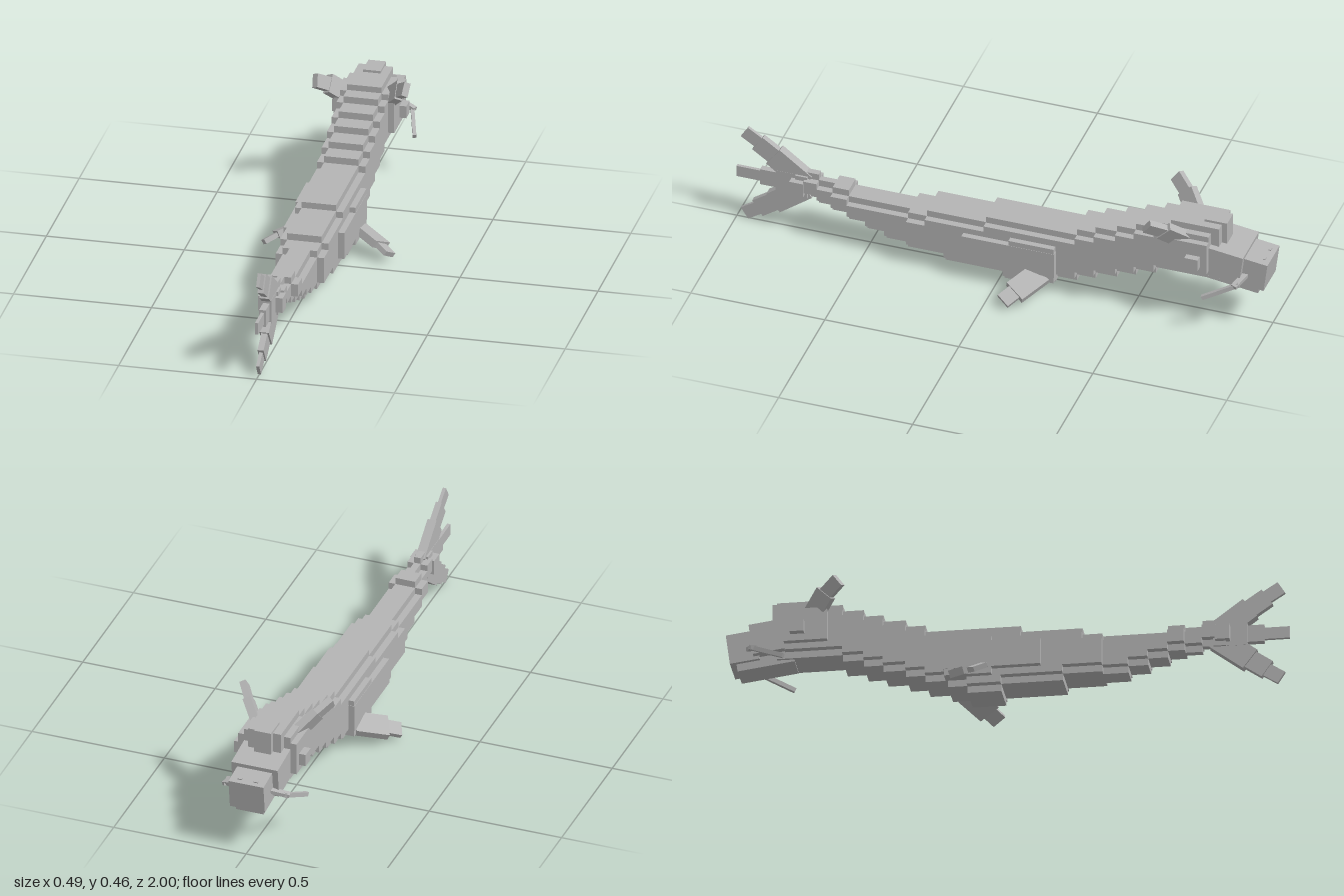
import * as THREE from 'three';

export function createModel() {
  const model = new THREE.Group();
  const grey = new THREE.MeshStandardMaterial({ color: 0xb4b4b4 });
  grey.name = 'grey';

  // box from its limits
  function block(name, x0, x1, y0, y1, z0, z1, parent = model) {
    const m = new THREE.Mesh(new THREE.BoxGeometry(x1 - x0, y1 - y0, z1 - z0), grey);
    m.position.set((x0 + x1) / 2, (y0 + y1) / 2, (z0 + z1) / 2);
    m.name = name;
    parent.add(m);
    return m;
  }
  const centred = (name, hw, y0, y1, z0, z1, parent) => block(name, -hw, hw, y0, y1, z0, z1, parent);

  // slab running from a to b, its width turned towards the hint direction
  function slab(name, a, b, hint, width, thick) {
    const A = new THREE.Vector3(...a), B = new THREE.Vector3(...b);
    const d = B.clone().sub(A), len = d.length();
    d.normalize();
    const n = new THREE.Vector3().crossVectors(d, new THREE.Vector3(...hint)).normalize();
    const w = new THREE.Vector3().crossVectors(n, d);
    const m = new THREE.Mesh(new THREE.BoxGeometry(len, width, thick), grey);
    m.quaternion.setFromRotationMatrix(new THREE.Matrix4().makeBasis(d, w, n));
    m.position.copy(A.add(B).multiplyScalar(0.5));
    m.name = name;
    model.add(m);
  }

  // stepped body: [z start, z end, bottom, top]
  const steps = [
    [-0.64, -0.585, 0.19, 0.385], [-0.585, -0.51, 0.165, 0.36],
    [-0.51, -0.44, 0.14, 0.335], [-0.44, -0.36, 0.115, 0.31],
    [-0.36, -0.29, 0.09, 0.285], [-0.29, -0.21, 0.065, 0.26],
    [-0.21, -0.14, 0.04, 0.26], [-0.14, -0.02, 0.013, 0.26],
    [-0.02, 0.05, 0.04, 0.26], [0.05, 0.2, 0.04, 0.237],
    [0.2, 0.27, 0.065, 0.237], [0.27, 0.34, 0.065, 0.212],
    [0.34, 0.43, 0.065, 0.212], [0.43, 0.5, 0.09, 0.212],
    [0.5, 0.57, 0.115, 0.212], [0.57, 0.63, 0.14, 0.237],
    [0.63, 0.69, 0.14, 0.237], [0.69, 0.74, 0.16, 0.26],
  ];
  for (const [z0, z1, y0, y1] of steps) {
    const hw = z0 < 0.34 ? 0.0875 : z0 < 0.63 ? 0.0625 : 0.0375;
    centred('spine', hw - 0.025, y0, y1, z0, z1);
    centred('flank', hw, y0 + 0.025, y1 - 0.025, z0, z1);
  }
  centred('sidePlate', 0.11, 0.09, 0.19, -0.22, 0.125);
  centred('shoulderPlate', 0.109, 0.065, 0.21, -0.218, -0.05);

  // head
  centred('skull', 0.0875, 0.215, 0.382, -0.79, -0.64);
  centred('skullCore', 0.0625, 0.19, 0.407, -0.82, -0.64);
  centred('cheekPlate', 0.11, 0.237, 0.36, -0.79, -0.635);
  centred('eyes', 0.135, 0.262, 0.308, -0.765, -0.715);
  centred('crest', 0.032, 0.33, 0.416, -0.84, -0.755);

  // tilted muzzle
  const muzzle = new THREE.Group();
  muzzle.name = 'muzzle';
  muzzle.position.set(0, 0.27, -0.79);
  muzzle.rotation.x = -0.13;
  centred('face', 0.0875, -0.05, 0.065, -0.12, 0.03, muzzle);
  centred('snout', 0.066, -0.062, 0.05, -0.207, -0.1, muzzle);
  centred('lowerJaw', 0.052, -0.09, -0.045, -0.185, 0.02, muzzle);
  for (const s of [-1, 1])
    block('nostril', s * 0.03 - 0.008, s * 0.03 + 0.008, 0.05, 0.054, -0.189, -0.18, muzzle);
  model.add(muzzle);

  // paired barbels, head fins and flippers
  for (const s of [-1, 1]) {
    slab('barbelBase', [s * 0.06, 0.235, -0.92], [s * 0.123, 0.215, -0.895], [0, 0, 1], 0.022, 0.014);
    slab('barbelTip', [s * 0.11, 0.22, -0.91], [s * 0.148, 0.162, -0.785], [0, 1, 0], 0.016, 0.013);
    slab('headFinBase', [s * 0.075, 0.345, -0.69], [s * 0.13, 0.405, -0.635], [0, 0.7, -0.7], 0.07, 0.03);
    slab('headFinTip', [s * 0.12, 0.395, -0.645], [s * 0.165, 0.435, -0.585], [0, 0.7, -0.7], 0.05, 0.024);
    slab('flipperBase', [s * 0.09, 0.085, -0.165], [s * 0.19, 0.052, -0.1], [0, 0.25, 1], 0.085, 0.028);
    slab('flipperTip', [s * 0.18, 0.055, -0.105], [s * 0.228, 0.033, -0.07], [0, 0.25, 1], 0.055, 0.018);
  }

  // tail joint and three-lobed tail fin
  centred('tailJoint', 0.045, 0.172, 0.228, 0.738, 0.79);
  centred('tailCore', 0.025, 0.155, 0.245, 0.73, 0.775);
  centred('middleLobeBase', 0.018, 0.155, 0.245, 0.76, 0.85);
  centred('middleLobe', 0.012, 0.168, 0.232, 0.84, 0.91);
  centred('middleLobeTip', 0.006, 0.178, 0.222, 0.9, 1.0);
  for (const s of [-1, 1]) {
    const at = (z, h) => [0, 0.2 + s * h, z];
    slab('tailLobeBase', at(0.74, 0.01), at(0.86, 0.1), [0, s, -1], 0.085, 0.034);
    slab('tailLobe', at(0.84, 0.085), at(0.92, 0.14), [0, s, -1], 0.07, 0.022);
    slab('tailLobeTip', at(0.9, 0.13), at(0.97, 0.175), [0, s, -1], 0.05, 0.012);
  }
  return model;
}
